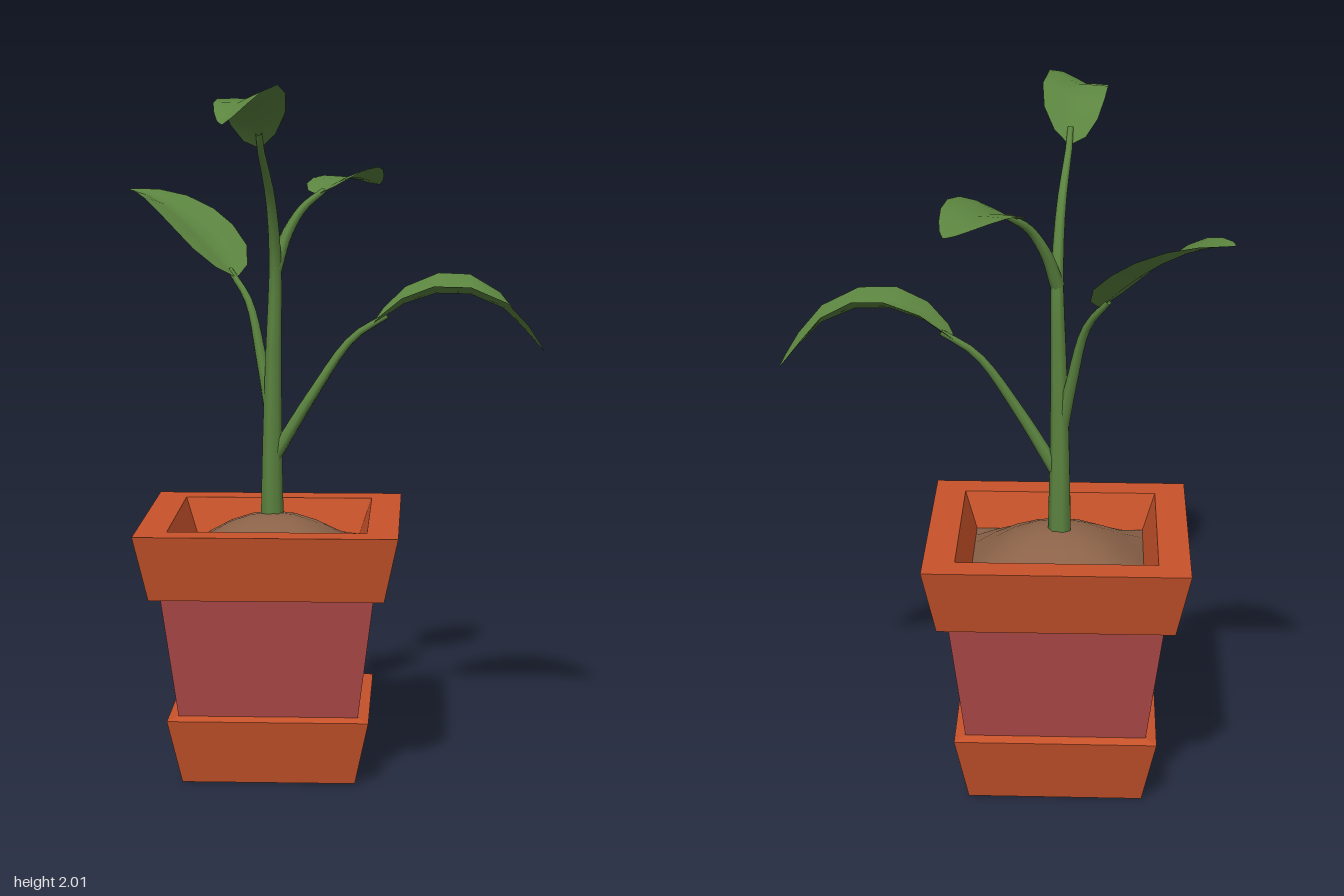
import * as THREE from 'three';

const material = (name, color, side = THREE.FrontSide) => {
  const m = new THREE.MeshStandardMaterial({ color, side });
  m.name = name;
  return m;
};

const V = (p) => new THREE.Vector3(...p);
const curveOf = (points) => new THREE.CatmullRomCurve3(points.map(V));

// Square, flat-sided shell from a profile of [half width, height]
function squareShell(profile) {
  const pts = profile.map(([w, y]) => new THREE.Vector2(w * Math.SQRT2, y));
  const g = new THREE.LatheGeometry(pts, 4).rotateY(Math.PI / 4).toNonIndexed();
  g.computeVertexNormals();
  return g;
}

// Tube whose radius shrinks along its path
function taperedTube(points, r0, r1, segments = 12, sides = 7) {
  const curve = curveOf(points);
  const g = new THREE.TubeGeometry(curve, segments, 1, sides);
  const pos = g.attributes.position, v = new THREE.Vector3();
  for (let i = 0; i < pos.count; i++) {
    const u = Math.floor(i / (sides + 1)) / segments;
    const c = curve.getPointAt(u);
    v.fromBufferAttribute(pos, i).sub(c).multiplyScalar(r0 + (r1 - r0) * u).add(c);
    pos.setXYZ(i, v.x, v.y, v.z);
  }
  return g;
}

// Leaf blade: cross-sections folded up on both sides of an arched midrib
const OUTLINE = [[0, 0.1], [0.05, 0.5], [0.18, 0.85], [0.35, 1], [0.52, 0.97],
  [0.7, 0.78], [0.85, 0.5], [0.95, 0.25], [1, 0.03]];
function leafBlade(points, halfWidth, lift, tilt) {
  const curve = curveOf(points), across = 6, up = new THREE.Vector3(0, 1, 0);
  const verts = [], index = [];
  OUTLINE.forEach(([u, w], row) => {
    const c = curve.getPointAt(u);
    const side = curve.getTangentAt(u).cross(up).setY(0).normalize();
    for (let j = 0; j <= across; j++) {
      const s = (j / across) * 2 - 1;
      const p = c.clone().addScaledVector(side, s * w * halfWidth);
      p.y += w * (lift * Math.pow(Math.abs(s), 0.85) + tilt * s);
      verts.push(p.x, p.y, p.z);
      if (row && j) {
        const d = row * (across + 1) + j, b = d - across - 1;
        index.push(b - 1, b, d, b - 1, d, d - 1);
      }
    }
  });
  const g = new THREE.BufferGeometry();
  g.setAttribute('position', new THREE.Float32BufferAttribute(verts, 3));
  g.setIndex(index);
  g.computeVertexNormals();
  return g;
}

export function createModel() {
  const model = new THREE.Group();
  model.name = 'pottedPlant';
  const terracotta = material('terracotta', 0xc8532b);
  const redClay = material('redClay', 0xae4848);
  const earth = material('earth', 0x8c6349);
  const green = material('leafGreen', 0x5c8540, THREE.DoubleSide);

  const add = (parent, name, geometry, mat) => {
    const mesh = new THREE.Mesh(geometry, mat);
    mesh.name = name;
    parent.add(mesh);
    return mesh;
  };

  // Pot
  const pot = new THREE.Group();
  pot.name = 'pot';
  pot.position.set(-0.165, 0, -0.09);
  model.add(pot);
  add(pot, 'saucer', squareShell([[0, 0], [0.25, 0], [0.29, 0.19], [0.255, 0.2]]), terracotta);
  add(pot, 'potBody', squareShell([[0.258, 0.19], [0.305, 0.56]]), redClay);
  add(pot, 'potRim', squareShell([[0.3, 0.555], [0.335, 0.555], [0.375, 0.745],
    [0.285, 0.745], [0.235, 0.6]]), terracotta);

  // Mounded soil
  const half = 0.25;
  const soil = new THREE.PlaneGeometry(half * 2, half * 2, 8, 8).rotateX(-Math.PI / 2);
  const pos = soil.attributes.position;
  for (let i = 0; i < pos.count; i++) {
    const x = pos.getX(i) / half, z = pos.getZ(i) / half;
    pos.setY(i, 0.64 + 0.112 * (1 - x * x) * (1 - z * z));
  }
  soil.computeVertexNormals();
  add(pot, 'soil', soil, earth);

  // Main stem, bending forward into the top leaf
  add(model, 'stem', taperedTube([[-0.17, 0.68, -0.105], [-0.168, 1, -0.103], [-0.163, 1.25, -0.1],
    [-0.157, 1.5, -0.085], [-0.165, 1.68, -0.01], [-0.185, 1.83, 0.115], [-0.187, 1.87, 0.145]],
    0.036, 0.009, 18), green);

  // Leaves with their stalks
  const leaves = [
    { name: 'topLeaf', width: 0.09, lift: 0.02, tilt: -0.02,
      rib: [[-0.185, 1.83, 0.115], [-0.19, 1.92, 0.19], [-0.205, 1.965, 0.27],
        [-0.23, 1.955, 0.36], [-0.262, 1.9, 0.47]] },
    { name: 'leftLeaf', width: 0.12, lift: 0.04, tilt: -0.01,
      rib: [[0.13, 1.31, -0.11], [0.25, 1.385, -0.105], [0.38, 1.405, -0.098],
        [0.5, 1.365, -0.1], [0.63, 1.23, -0.118]],
      stalk: [[-0.165, 0.91, -0.1], [-0.05, 1.1, -0.095], [0.07, 1.27, -0.105], [0.17, 1.335, -0.107]] },
    { name: 'rightRearLeaf', width: 0.128, lift: 0.03, tilt: 0,
      rib: [[-0.28, 1.44, -0.2], [-0.35, 1.52, -0.265], [-0.44, 1.6, -0.335],
        [-0.54, 1.66, -0.405], [-0.63, 1.685, -0.46]],
      stalk: [[-0.168, 1.03, -0.1], [-0.2, 1.2, -0.125], [-0.24, 1.37, -0.165], [-0.3, 1.46, -0.22]] },
    { name: 'leftRearLeaf', width: 0.098, lift: 0.02, tilt: 0.015,
      rib: [[-0.035, 1.685, -0.185], [0.01, 1.715, -0.255], [0.05, 1.727, -0.32],
        [0.09, 1.722, -0.39], [0.138, 1.7, -0.47]],
      stalk: [[-0.157, 1.47, -0.09], [-0.125, 1.57, -0.12], [-0.08, 1.645, -0.15], [-0.02, 1.695, -0.205]] },
  ];
  for (const { name, width, lift, tilt, rib, stalk } of leaves) {
    add(model, name, leafBlade(rib, width, lift, tilt), green);
    if (stalk) add(model, name + 'Stalk', taperedTube(stalk, 0.021, 0.009), green);
  }
  return model;
}
